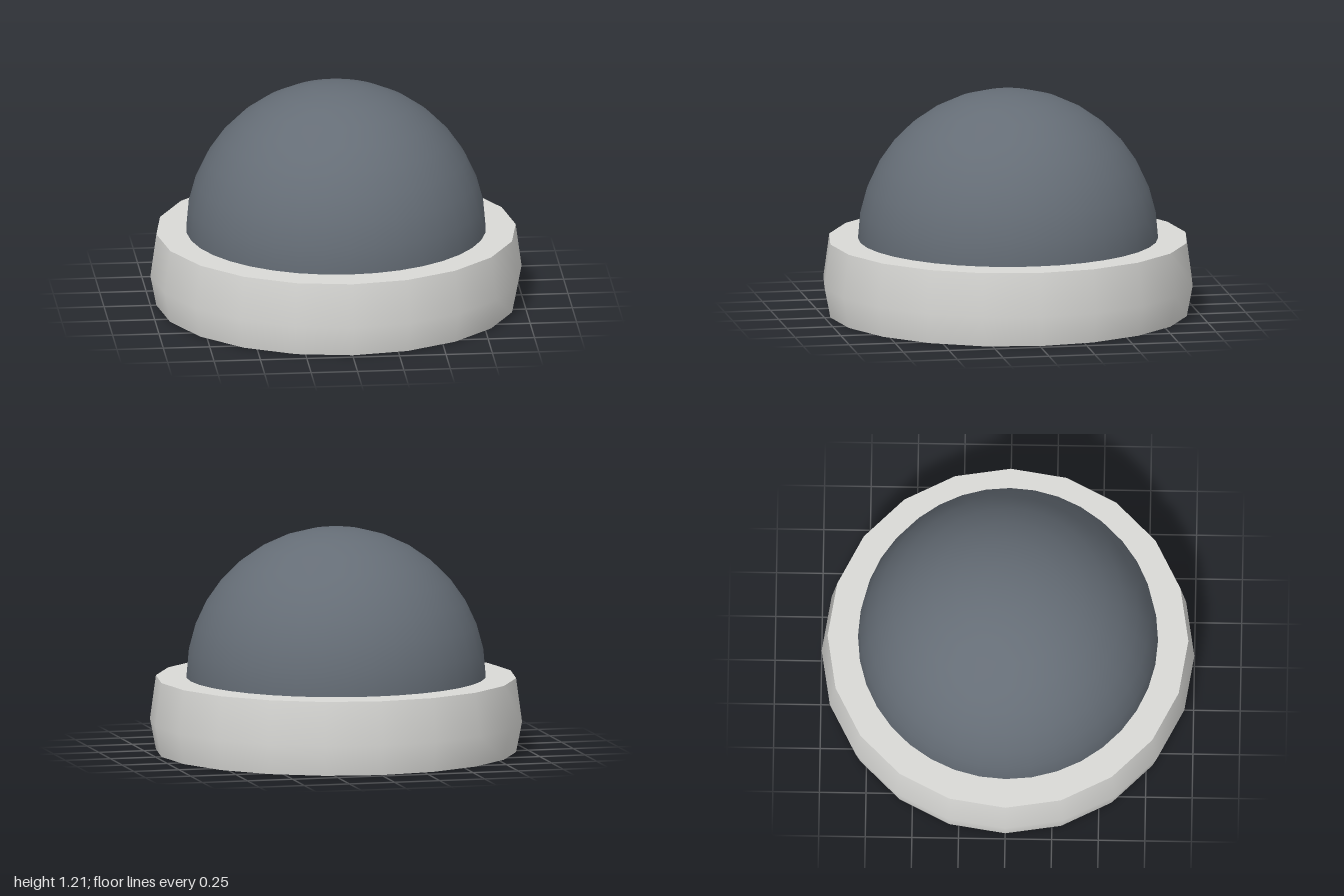
import * as THREE from 'three';

export function createModel() {
  const model = new THREE.Group();
  const paleGrey = new THREE.MeshStandardMaterial({ color: 0xd9d9d6 });
  paleGrey.name = 'paleGrey';
  const slate = new THREE.MeshStandardMaterial({ color: 0x656d76 });
  slate.name = 'slate';

  const SIDES = 20, HEIGHT = 0.4, RIM = 0.968;

  const add = (name, geometry, material, y = 0, parent = model) => {
    const mesh = new THREE.Mesh(geometry, material);
    mesh.name = name;
    mesh.position.y = y;
    parent.add(mesh);
    return mesh;
  };

  // Base: a short drum that bulges slightly below its middle
  const base = new THREE.Group();
  base.name = 'base';
  model.add(base);
  const profile = [[RIM, 0], [1, 0.165], [RIM, HEIGHT]].map(([r, y]) => new THREE.Vector2(r, y));
  add('baseWall', new THREE.LatheGeometry(profile, SIDES), paleGrey, 0, base);

  // Flat caps, turned so their corners meet the wall
  const top = new THREE.CircleGeometry(RIM, SIDES).rotateX(-Math.PI / 2);
  add('baseTop', top, paleGrey, HEIGHT, base);
  const bottom = new THREE.CircleGeometry(RIM, SIDES).rotateX(Math.PI / 2);
  add('baseBottom', bottom, paleGrey, 0, base);

  // Dome: a half sphere resting on the base
  const dome = new THREE.SphereGeometry(0.805, 36, 9, 0, Math.PI * 2, 0, Math.PI / 2);
  add('dome', dome, slate, HEIGHT + 0.003, model);

  return model;
}
